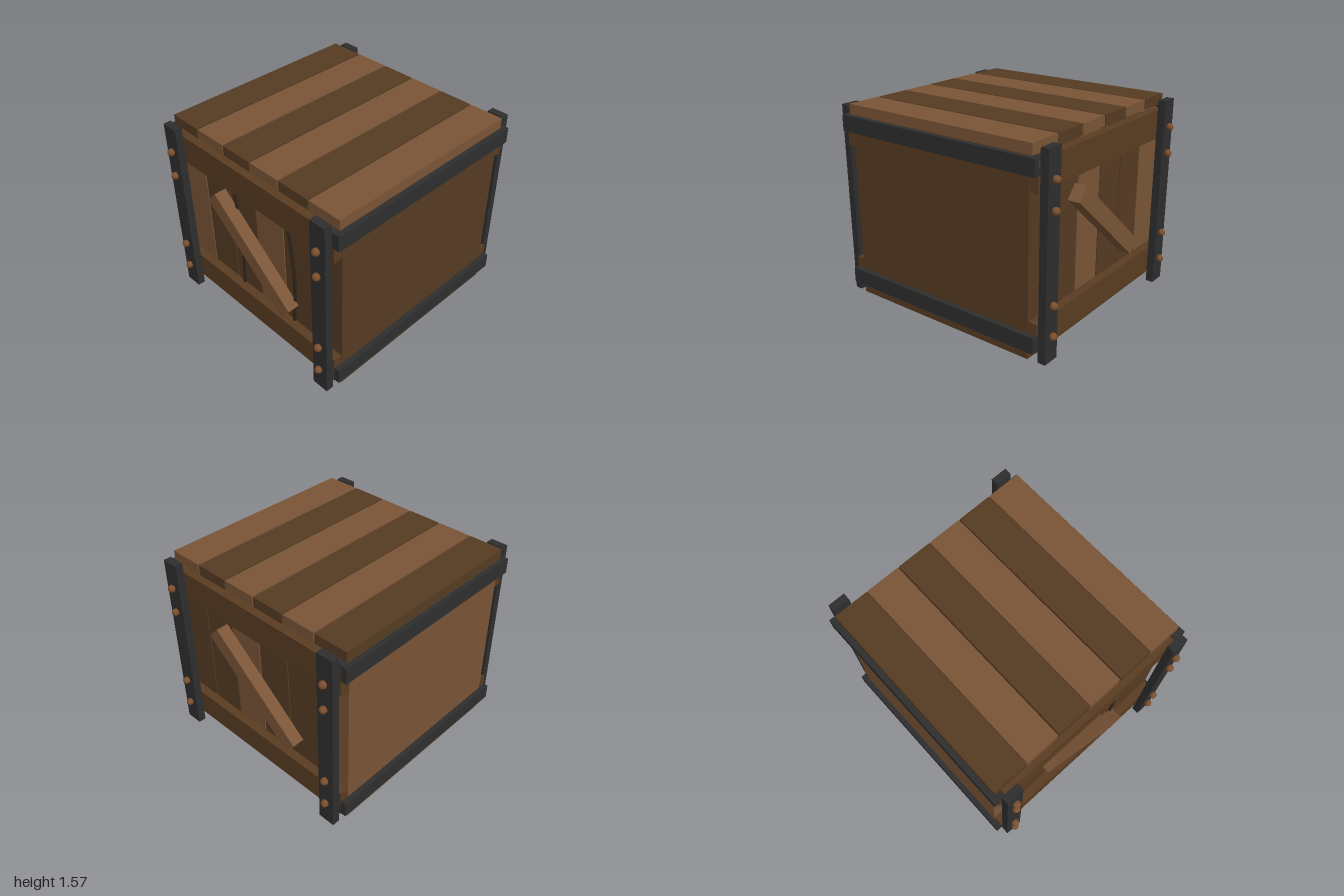
import * as THREE from 'three';

const mat = (name, color) => {
  const m = new THREE.MeshStandardMaterial({ color });
  m.name = name;
  return m;
};

export function createModel() {
  const lightWood = mat('light wood', 0x7a5537);
  const darkWood = mat('dark wood', 0x553b22);
  const railWood = mat('rail wood', 0x5a3c21);
  const iron = mat('dark iron', 0x2e2e2e);
  const copper = mat('rivet copper', 0x7a4f2e);
  const crackDark = mat('crack', 0x30241b);

  const crate = new THREE.Group();
  crate.name = 'crate';
  const add = (name, geometry, material, x = 0, y = 0, z = 0) => {
    const mesh = new THREE.Mesh(geometry, material);
    mesh.name = name;
    mesh.position.set(x, y, z);
    crate.add(mesh);
    return mesh;
  };
  const box = (name, material, w, h, d, x, y, z) =>
    add(name, new THREE.BoxGeometry(w, h, d), material, x, y, z);

  // Six body slabs with narrow gaps, and a lid plank on each
  for (let i = 0; i < 6; i++) {
    const x = (i - 2.5) * 0.2935;
    box('bodyPlank', i % 3 === 0 ? lightWood : darkWood, 0.283, 1.48, 1.64, x, 0.75, 0);
    box('lidPlank', i % 2 ? lightWood : darkWood, 0.283, 0.082, 1.69, x, 1.531, 0);
  }

  for (const s of [1, -1]) {
    // Horizontal rails on front and back
    box('lowerRail', railWood, 1.74, 0.22, 0.1, 0, 0.19, s * 0.84);
    box('upperRail', railWood, 1.74, 0.23, 0.1, 0, 1.355, s * 0.84);

    // Diagonal brace, mirrored on the back
    const brace = box('diagonalBrace', lightWood, 1.02, 0.135, 0.1, 0, 0.775, s * 0.876);
    brace.rotation.z = -s * 0.71;

    // Iron straps along the sides
    for (const y of [0.155, 1.425]) {
      box('sideStrap', iron, 0.095, 0.125, 1.78, s * 0.8675, y, 0);
    }

    // Iron corner posts with rivets
    for (const t of [1, -1]) {
      box('cornerPost', iron, 0.14, 1.55, 0.062, t * 0.785, 0.775, s * 0.924);
      for (const y of [0.2, 0.435, 1.12, 1.335]) {
        add('rivet', new THREE.SphereGeometry(0.03, 16, 12), copper, t * 0.785, y, s * 0.97);
      }
    }
  }

  // Curved cracks on the front planks
  const cracks = [
    [[-0.245, 1.3], [-0.215, 1.0], [-0.19, 0.7], [-0.215, 0.27]],
    [[0.34, 1.3], [0.378, 1.0], [0.402, 0.7], [0.372, 0.27]],
  ];
  for (const points of cracks) {
    const curve = new THREE.CatmullRomCurve3(points.map(([x, y]) => new THREE.Vector3(x, y, 0.825)));
    add('crack', new THREE.TubeGeometry(curve, 24, 0.015, 6), crackDark);
  }

  return crate;
}
